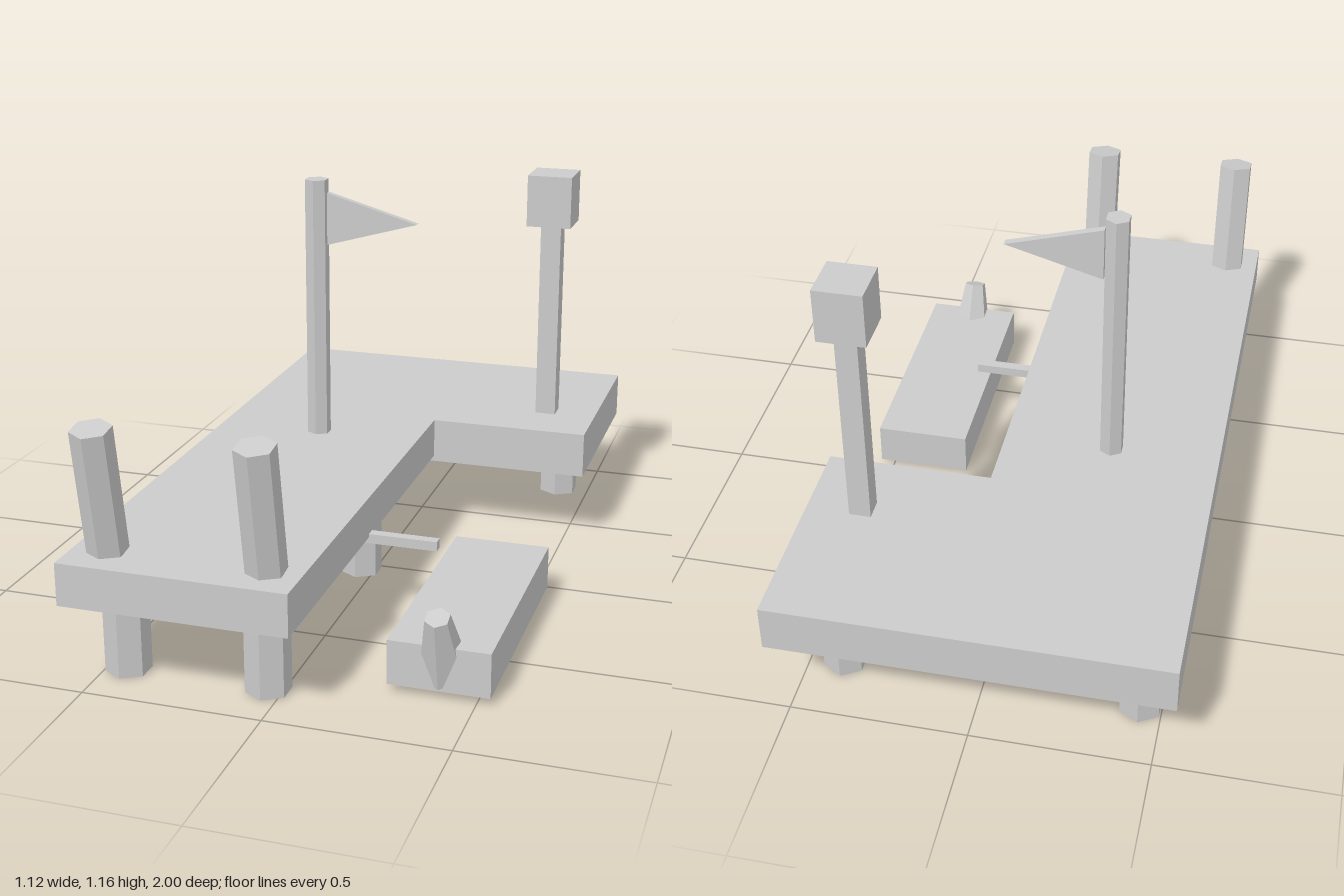
import * as THREE from 'three';

const material = new THREE.MeshStandardMaterial({ color: 0xcccccc, flatShading: true });

export function createModel() {
  const model = new THREE.Group();
  model.name = 'dock';

  const add = (name, geometry, x, y, z, tilt = 0) => {
    const mesh = new THREE.Mesh(geometry, material);
    mesh.name = name;
    mesh.position.set(x, y, z);
    mesh.rotation.x = tilt;
    model.add(mesh);
    return mesh;
  };

  // Box given by its minimum and maximum corners
  const box = (name, [x0, y0, z0], [x1, y1, z1]) =>
    add(name, new THREE.BoxGeometry(x1 - x0, y1 - y0, z1 - z0),
      (x0 + x1) / 2, (y0 + y1) / 2, (z0 + z1) / 2);

  // Six-sided post, optionally tapered
  const hex = (rTop, rBottom, height) => new THREE.CylinderGeometry(rTop, rBottom, height, 6);

  // L-shaped deck: long pier and a slightly thicker rear platform
  box('pierDeck', [-0.558, 0.24, -0.36], [0.077, 0.36, 1]);
  box('rearDeck', [-0.558, 0.222, -1], [0.558, 0.36, -0.36]);

  // Support piles
  for (const [x, z, top] of [
    [-0.44, 0.84, 0.24], [-0.04, 0.84, 0.24],
    [-0.44, 0.04, 0.24], [-0.04, 0.04, 0.24],
    [-0.44, -0.8, 0.222], [0.4, -0.8, 0.222],
  ]) add('pile', hex(0.063, 0.063, top), x, top / 2, z);

  // Leaning bollards at the front end
  for (const x of [-0.46, -0.02]) add('bollard', hex(0.056, 0.056, 0.36), x, 0.54, 0.918, 0.17);

  // Flagpole and pennant
  add('flagpole', hex(0.036, 0.036, 0.796), -0.24, 0.758, -0.158);
  const pennant = new THREE.Shape([
    new THREE.Vector2(0, -0.079), new THREE.Vector2(0.278, 0), new THREE.Vector2(0, 0.079),
  ]);
  add('pennant', new THREE.ExtrudeGeometry(pennant, { depth: 0.022, bevelEnabled: false }),
    -0.205, 1.038, -0.17);

  // Lamp post and lamp
  box('lampPost', [0.368, 0.36, -0.591], [0.431, 0.98, -0.529]);
  box('lamp', [0.33, 0.978, -0.629], [0.467, 1.137, -0.491]);

  // Moored boat, its raked bow post and the mooring bar
  box('boatHull', [0.258, 0.021, 0.045], [0.537, 0.148, 0.758]);
  add('bowPost', hex(0.035, 0.069, 0.2), 0.398, 0.147, 0.738, 0.39);
  box('mooringBar', [0.06, 0.222, 0.305], [0.276, 0.25, 0.335]);

  return model;
}
